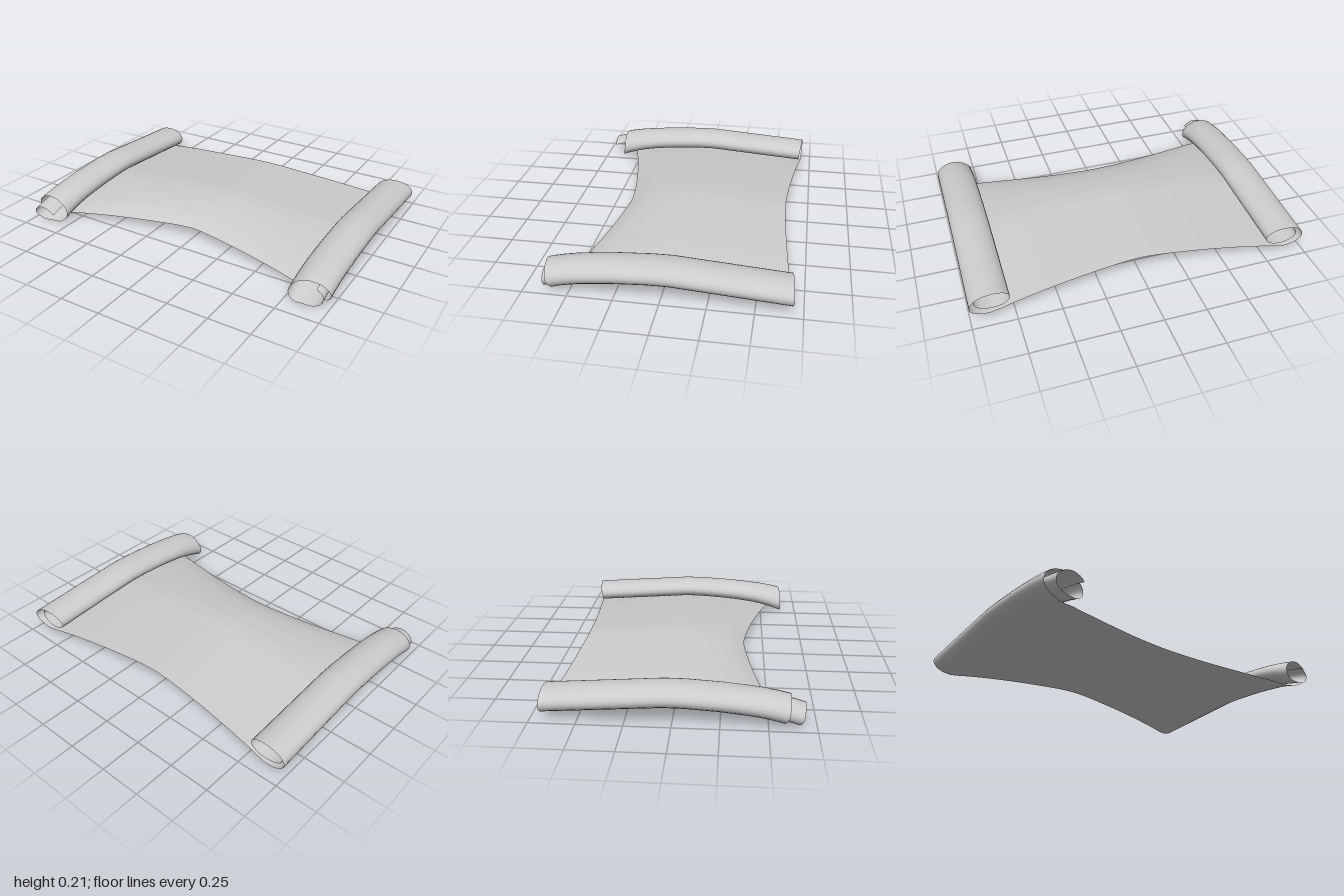
import * as THREE from 'three';

// Smooth-enough interpolation through [input, output] pairs, extended linearly at both ends
function lookup(pairs, t) {
  let i = 0;
  while (i < pairs.length - 2 && t > pairs[i + 1][0]) i++;
  const [a, va] = pairs[i], [b, vb] = pairs[i + 1];
  return va + (vb - va) * (t - a) / (b - a);
}

const ROLL_X = 0.88, RX = 0.12, RY = 0.068;

// Height along the length: gentle rise from the back, droop at the front
const SPINE = [[-1, 0.03], [-0.07, 0.075], [0.1, 0.074], [0.4, 0.062], [0.55, 0.052],
  [0.7, 0.04], [0.82, 0.025], [0.92, 0.008], [1, -0.008], [1.1, -0.03]];
// Height across the width of the flat part
const CROWN = [[0, 0.08], [0.1, 0.077], [0.2, 0.07], [0.4, 0.054], [0.6, 0.035], [0.76, 0.016], [0.82, 0.006], [0.88, 0]];

// Front and back ends of the rolls, by number of turns
const ROLLS = {
  left: { turns: 1.4, shrink: 0.28,
    front: [[0, 0.56], [0.25, 0.61], [0.5, 0.635], [0.75, 0.645], [1, 0.64], [1.4, 0.64]],
    back: [[0, -0.685], [0.25, -0.7], [0.5, -0.69], [0.75, -0.67], [1.4, -0.66]] },
  right: { turns: 1.65, shrink: 0.26,
    front: [[0, 0.56], [0.25, 0.605], [0.5, 0.615], [0.75, 0.615], [1, 0.64], [1.25, 0.68], [1.5, 0.695], [1.65, 0.69]],
    back: [[0, -0.685], [0.25, -0.69], [0.5, -0.685], [0.75, -0.67], [1.65, -0.66]] },
};

// Cross-section at u in [-1, 1]: flat middle half, spiral at each end
function section(u) {
  const side = u < 0 ? -1 : 1, a = Math.abs(u);
  if (a <= 0.5) {
    const x = a * 2 * ROLL_X, k = x / 0.76;
    return {
      x: side * x, y: lookup(CROWN, x),
      front: 0.375 + 0.14 * Math.pow(k, 1.4), back: -0.61 - 0.06 * Math.pow(k, 1.5),
    };
  }
  const roll = side > 0 ? ROLLS.left : ROLLS.right;
  const n = (a - 0.5) * 2 * roll.turns;
  const angle = -Math.PI / 2 + n * Math.PI * 2;
  const r = 1 - roll.shrink * Math.max(0, n - 0.4);
  return {
    x: side * (ROLL_X + RX * r * Math.cos(angle)),
    y: RY + RY * r * Math.sin(angle),
    front: lookup(roll.front, n), back: lookup(roll.back, n),
  };
}

export function createModel() {
  const group = new THREE.Group();
  group.name = 'scroll';

  // One continuous sheet, bent from a flat grid
  const sheet = new THREE.PlaneGeometry(2, 1, 160, 48);
  const pos = sheet.attributes.position;
  for (let i = 0; i < pos.count; i++) {
    const s = section(pos.getX(i));
    const z = THREE.MathUtils.lerp(s.back, s.front, 0.5 - pos.getY(i));
    // The droop follows the concave front edge and tips the roll ends forward
    const reach = 0.37 + 0.25 * Math.pow(Math.min(1, Math.abs(s.x) / ROLL_X), 1.6);
    const inRoll = Math.abs(s.x) > 0.74 ? 1 : 0;
    const t = z > 0 ? (z - inRoll * 0.6 * s.y * z / 0.62) / reach : z / 0.69;
    pos.setXYZ(i, s.x, Math.max(0, s.y + lookup(SPINE, t)), z);
  }
  sheet.computeVertexNormals();

  const mesh = new THREE.Mesh(sheet, new THREE.MeshStandardMaterial({ color: 0xcccccc, side: THREE.DoubleSide }));
  mesh.name = 'rolledSheet';
  group.add(mesh);
  return group;
}
